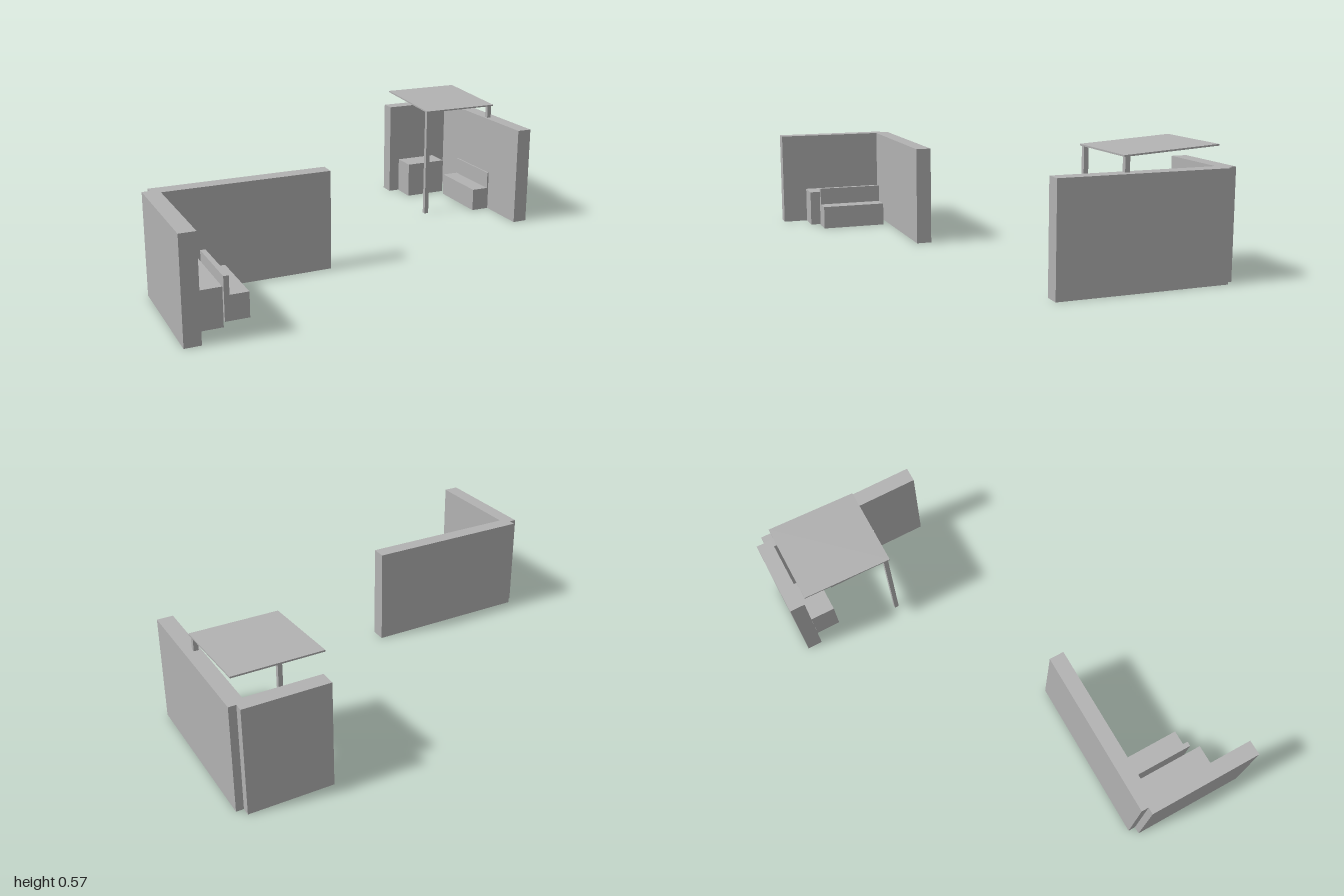
import * as THREE from 'three';

const grey = new THREE.MeshStandardMaterial({ color: 0xb2b2b2 });
grey.name = 'plainGrey';

// Box given by its limits on each axis
function block(parent, name, [x0, x1], [y0, y1], [z0, z1]) {
  const mesh = new THREE.Mesh(new THREE.BoxGeometry(x1 - x0, y1 - y0, z1 - z0), grey);
  mesh.position.set((x0 + x1) / 2, (y0 + y1) / 2, (z0 + z1) / 2);
  mesh.name = name;
  parent.add(mesh);
  return mesh;
}

// Bench with a seat facing +x or -x and a thin, taller backrest
function bench(name, backX, facing, z) {
  const group = new THREE.Group();
  group.name = name;
  const span = (a, b) => [backX + facing * a, backX + facing * b].sort((p, q) => p - q);
  block(group, 'backrest', span(0, 0.023), [0, 0.195], z);
  block(group, 'seat', span(0.023, 0.106), [0, 0.112], z);
  return group;
}

export function createModel() {
  const model = new THREE.Group();
  model.name = 'ruinedShelters';

  // Open corner with a long back wall
  const corner = new THREE.Group();
  corner.name = 'openCorner';
  block(corner, 'sideWall', [-1, -0.929], [0, 0.457], [0.209, 0.755]);
  block(corner, 'backWall', [-0.967, -0.176], [0, 0.457], [0.174, 0.245]);
  block(corner, 'counter', [-0.926, -0.805], [0, 0.172], [0.278, 0.636]);
  corner.add(bench('bench', -0.786, 1, [0.278, 0.591]));
  model.add(corner);

  // Roofed corner with a long side wall
  const shelter = new THREE.Group();
  shelter.name = 'roofedCorner';
  block(shelter, 'sideWall', [0.925, 0.996], [0, 0.478], [-0.717, 0.051]);
  block(shelter, 'backWall', [0.588, 0.963], [0, 0.478], [-0.755, -0.683]);
  block(shelter, 'counter', [0.642, 0.855], [0, 0.178], [-0.68, -0.56]);
  shelter.add(bench('bench', 0.94, -1, [-0.512, -0.2]));

  // Two front posts carry the tilted roof slab
  for (const x of [0.577, 0.936]) {
    block(shelter, 'post', [x, x + 0.021], [0, 0.542], [-0.276, -0.255]);
  }
  const roof = block(shelter, 'roof', [0.572, 0.963], [0.553, 0.56], [-0.672, -0.247]);
  roof.rotation.x = 0.061;
  model.add(shelter);

  return model;
}
